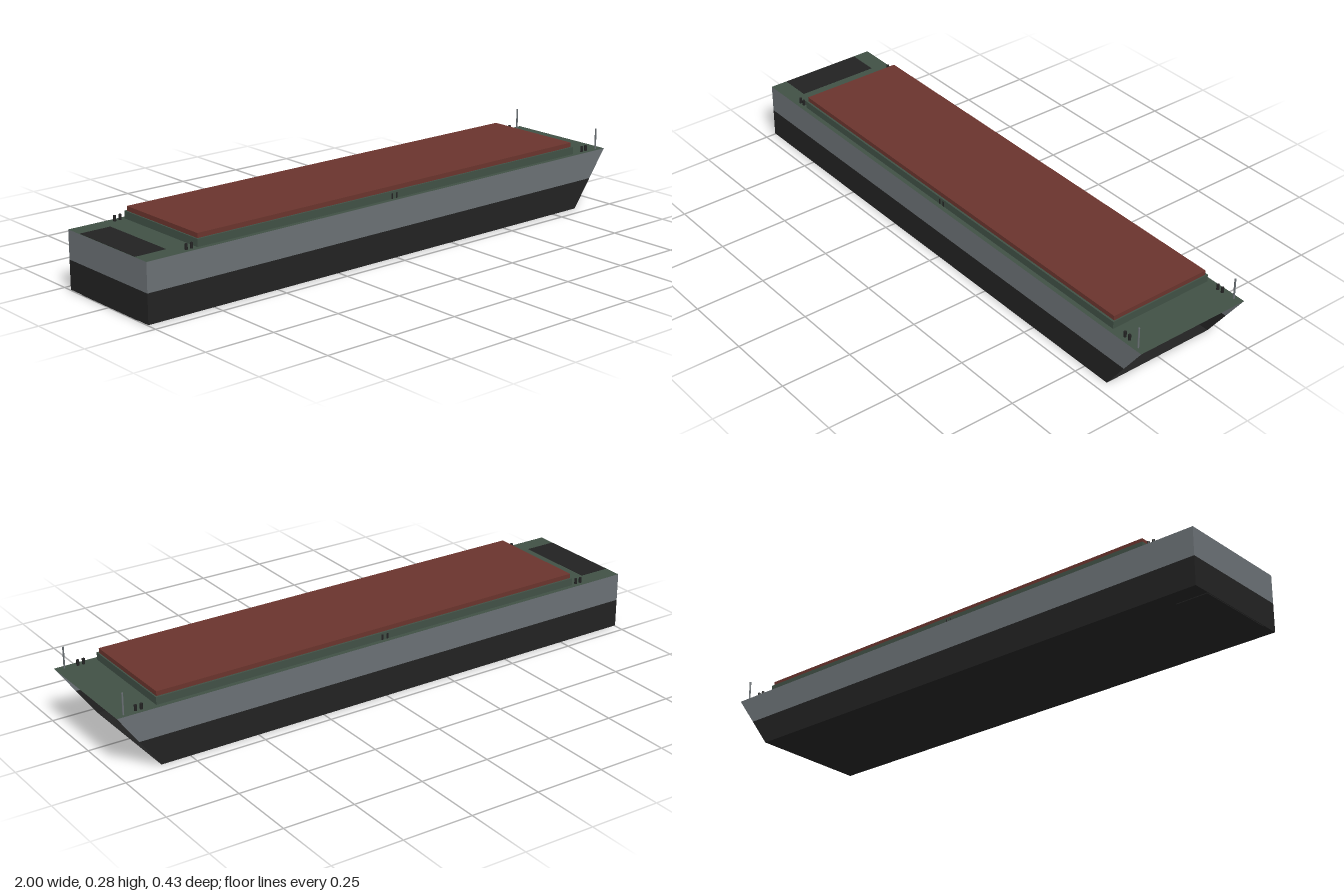
import * as THREE from 'three';

const makeMaterial = (name, color, side = THREE.FrontSide) => {
  const m = new THREE.MeshStandardMaterial({ color, side });
  m.name = name;
  return m;
};

export function createModel() {
  const group = new THREE.Group();
  const grey = makeMaterial('hull grey', 0x6a7074, THREE.DoubleSide);
  const black = makeMaterial('black', 0x222222, THREE.DoubleSide);
  const green = makeMaterial('deck green', 0x405045, THREE.DoubleSide);
  const red = makeMaterial('hatch red', 0x6a342d);

  const bottom = 0.005, waterline = 0.105, deckY = 0.204, halfWidth = 0.213;
  const bowX = y => 0.856 + (y - bottom) / (deckY - bottom) * 0.144;

  const add = (name, geometry, material, x = 0, y = 0, z = 0) => {
    const mesh = new THREE.Mesh(geometry, material);
    mesh.name = name;
    mesh.position.set(x, y, z);
    group.add(mesh);
    return mesh;
  };

  // Flat panels, each given as four corners
  const panels = quads => {
    const g = new THREE.BufferGeometry();
    const points = quads.flatMap(([a, b, c, d]) => [a, b, c, a, c, d].flat());
    g.setAttribute('position', new THREE.Float32BufferAttribute(points, 3));
    g.computeVertexNormals();
    return g;
  };

  // Shell band: both sides and the stern, open at the raked bow
  const band = (y0, y1) => {
    const ring = y => [
      [bowX(y), y, -halfWidth], [-1, y, -halfWidth],
      [-1, y, halfWidth], [bowX(y), y, halfWidth],
    ];
    const lo = ring(y0), hi = ring(y1);
    return panels([0, 1, 2].map(i => [lo[i], lo[i + 1], hi[i + 1], hi[i]]));
  };
  add('upperHull', band(waterline, deckY), grey);
  add('lowerHull', band(bottom, waterline), black);

  // Horizontal plates
  const plate = (y, up) => {
    const c = [[-1, y, halfWidth], [bowX(y), y, halfWidth], [bowX(y), y, -halfWidth], [-1, y, -halfWidth]];
    return panels([up ? c : c.reverse()]);
  };
  add('hullBottom', plate(bottom, false), black);
  add('deck', plate(deckY, true), green);

  // Stern well block, just inside the transom
  add('sternWell', new THREE.BoxGeometry(0.113, 0.2025, 0.3), black, -0.9415, 0.10375, 0);

  // Cargo hold coaming and its cover
  add('coaming', new THREE.BoxGeometry(1.655, 0.026, 0.392), green, 0.0275, 0.217, 0);
  add('hatchCover', new THREE.BoxGeometry(1.645, 0.016, 0.378), red, 0.0275, 0.238, 0);

  // Paired bollards and bow poles, mirrored
  const bollard = new THREE.CylinderGeometry(0.005, 0.005, 0.019, 10);
  const pole = new THREE.CylinderGeometry(0.003, 0.003, 0.074, 8);
  for (const side of [1, -1]) {
    for (const x of [-0.83, 0, 0.915]) {
      for (const dx of [-0.01, 0.01]) {
        add('bollard', bollard, black, x + dx, deckY + 0.0095, side * 0.1925);
      }
    }
    add('bowPole', pole, grey, 0.97, deckY + 0.037, side * 0.198);
  }
  return group;
}
